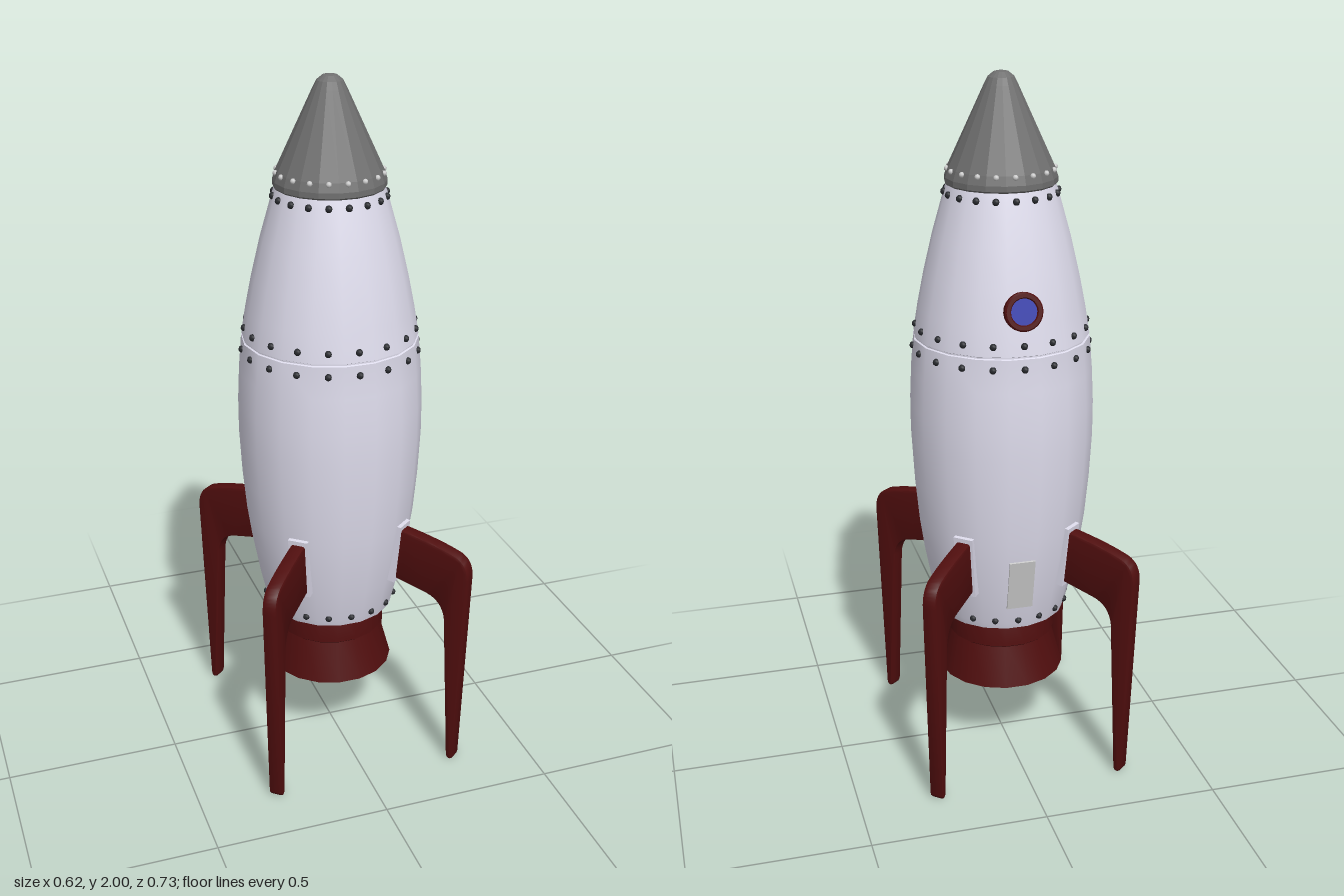
import * as THREE from 'three';
import { toCreasedNormals } from 'three/addons/utils/BufferGeometryUtils.js';

const SIDES = 18;
const STEP = (Math.PI * 2) / SIDES;

const paint = (color, extra = {}) => new THREE.MeshStandardMaterial({ color, ...extra });

function add(parent, name, geometry, material) {
  const mesh = new THREE.Mesh(geometry, material);
  mesh.name = name;
  parent.add(mesh);
  return mesh;
}

// 18-sided turned part, with a flat face towards +z and -z
function turned(profile, crease = 0.6) {
  const points = profile.map(([r, y]) => new THREE.Vector2(r, y));
  return toCreasedNormals(new THREE.LatheGeometry(points, SIDES, STEP / 2), crease);
}

// Rivets sit in the middle of each facet
function rivetRing(parent, name, radius, y, size, material) {
  const ring = new THREE.Group();
  ring.name = name;
  const geometry = new THREE.SphereGeometry(size, 8, 6);
  for (let i = 0; i < SIDES; i++) {
    const rivet = add(ring, 'rivet', geometry, material);
    const r = radius * Math.cos(STEP / 2);
    rivet.position.set(Math.sin(i * STEP) * r, y, Math.cos(i * STEP) * r);
  }
  parent.add(ring);
}

// Curved leg outline: x is the distance from the axis
function finGeometry() {
  const s = new THREE.Shape();
  s.moveTo(0.2, 0.575);
  s.lineTo(0.25, 0.565);
  s.lineTo(0.335, 0.547);
  s.quadraticCurveTo(0.385, 0.535, 0.393, 0.48);
  s.lineTo(0.416, 0.015);
  s.quadraticCurveTo(0.418, 0, 0.428, 0);
  s.quadraticCurveTo(0.438, 0, 0.44, 0.015);
  s.lineTo(0.464, 0.62);
  s.quadraticCurveTo(0.466, 0.675, 0.425, 0.692);
  s.quadraticCurveTo(0.35, 0.718, 0.2, 0.735);
  s.closePath();
  const bevel = 0.007;
  const depth = 0.042 - 2 * bevel;
  const g = new THREE.ExtrudeGeometry(s, {
    depth, curveSegments: 8, bevelEnabled: true, bevelSegments: 2,
    bevelSize: bevel, bevelThickness: bevel, bevelOffset: -bevel,
  });
  g.translate(0, 0, -depth / 2);
  return toCreasedNormals(g, 0.7);
}

export function createModel() {
  const rocket = new THREE.Group();
  rocket.name = 'rocket';

  const white = paint(0xdedcec);
  const grey = paint(0x707070, { flatShading: true });
  const red = paint(0x500e0e);
  const redOpen = paint(0x500e0e, { side: THREE.DoubleSide });
  const dark = paint(0x2a2c30);
  const pale = paint(0xcccccc);
  const blue = paint(0x3a42b0);

  // Hull, with a narrow groove at the seam
  add(rocket, 'hull', turned([
    [0, 0.45], [0.165, 0.45], [0.17, 0.435], [0.186, 0.435], [0.192, 0.455],
    [0.214, 0.55], [0.231, 0.64], [0.244, 0.73], [0.255, 0.85], [0.262, 0.98],
    [0.262, 1.08], [0.257, 1.18], [0.249, 1.273], [0.244, 1.275], [0.244, 1.279],
    [0.248, 1.281], [0.235, 1.36], [0.217, 1.45], [0.191, 1.56], [0.157, 1.68],
    [0.149, 1.705], [0, 1.705],
  ]), white);

  // Nose cone with a rolled lower edge
  add(rocket, 'noseCone', turned([
    [0, 1.698], [0.148, 1.698], [0.155, 1.705], [0.155, 1.72], [0.147, 1.745],
    [0.046, 1.963], [0.036, 1.983], [0.02, 1.996], [0, 2],
  ]), grey);

  // Two-stage exhaust bell, open underneath
  add(rocket, 'nozzle', turned([
    [0, 0.4], [0.125, 0.38], [0.172, 0.236], [0.184, 0.236], [0.151, 0.355],
    [0.157, 0.36], [0.157, 0.368], [0.137, 0.45],
  ]), redOpen);

  // Rivet rows
  rivetRing(rocket, 'lowerRivets', 0.194, 0.463, 0.01, dark);
  rivetRing(rocket, 'seamRivetsLower', 0.252, 1.245, 0.01, dark);
  rivetRing(rocket, 'seamRivetsUpper', 0.244, 1.308, 0.01, dark);
  rivetRing(rocket, 'upperRivets', 0.158, 1.679, 0.01, dark);
  rivetRing(rocket, 'noseRivets', 0.149, 1.741, 0.008, pale);

  // Four landing fins with their mounting plates
  const fin = finGeometry();
  const plate = new THREE.BoxGeometry(0.05, 0.185, 0.058);
  for (const degrees of [50, 130, 230, 310]) {
    const leg = new THREE.Group();
    leg.name = 'landingFin';
    add(leg, 'fin', fin, red);
    const mount = add(leg, 'finMount', plate, white);
    mount.position.set(0.219, 0.652, 0);
    mount.rotation.z = -0.1;
    leg.rotation.y = THREE.MathUtils.degToRad(degrees);
    rocket.add(leg);
  }

  // Round window on the back, leaning with the hull
  const porthole = new THREE.Group();
  porthole.name = 'porthole';
  const frame = new THREE.LatheGeometry([
    [0.036, -0.02], [0.053, -0.02], [0.053, 0.01], [0.049, 0.014],
    [0.039, 0.014], [0.036, 0.01], [0.036, -0.02],
  ].map(([r, y]) => new THREE.Vector2(r, y)), 24);
  frame.rotateX(-Math.PI / 2);
  add(porthole, 'windowFrame', toCreasedNormals(frame, 0.6), red);
  const glass = new THREE.CylinderGeometry(0.037, 0.037, 0.02, 24);
  glass.rotateX(-Math.PI / 2);
  add(porthole, 'windowGlass', glass, blue);
  porthole.position.set(0, 1.4, -0.226);
  porthole.rotation.x = 0.19;
  rocket.add(porthole);

  // Flat access hatch low on the back
  const hatch = add(rocket, 'hatch', new THREE.BoxGeometry(0.075, 0.16, 0.008), pale);
  hatch.position.set(0, 0.59, -0.218);
  hatch.rotation.x = -0.19;

  return rocket;
}
